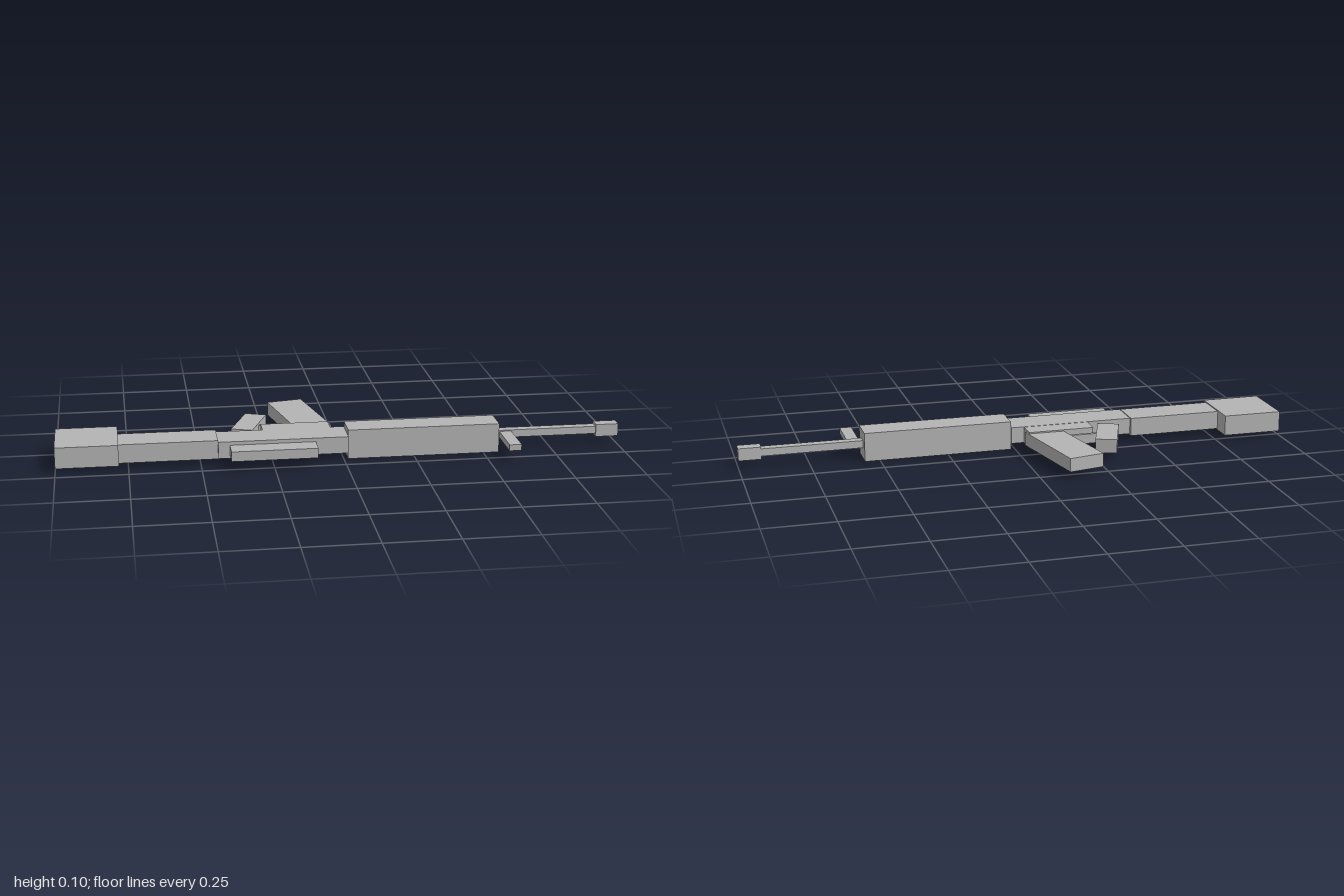
import * as THREE from 'three';

export function createModel() {
  const group = new THREE.Group();
  const grey = new THREE.MeshStandardMaterial({ color: 0xb4b4b4 });
  grey.name = 'grey';

  // Axis-aligned block given by its extents
  const block = (name, [x0, x1], [y0, y1], [z0, z1]) => {
    const mesh = new THREE.Mesh(new THREE.BoxGeometry(x1 - x0, y1 - y0, z1 - z0), grey);
    mesh.position.set((x0 + x1) / 2, (y0 + y1) / 2, (z0 + z1) / 2);
    mesh.name = name;
    group.add(mesh);
    return mesh;
  };

  // Block turned about the vertical axis, long side along its own z
  const slanted = (name, x, z, width, length, [y0, y1], angle) => {
    const mesh = block(name, [x - width / 2, x + width / 2], [y0, y1], [z - length / 2, z + length / 2]);
    mesh.rotation.y = angle;
  };

  // Main body, from the butt to the muzzle
  block('buttStock', [-1, -0.783], [0.016, 0.091], [-0.014, 0.205]);
  block('stockArm', [-0.783, -0.44], [0.02, 0.087], [0.062, 0.187]);
  block('receiver', [-0.44, 0.015], [0.024, 0.084], [0.076, 0.197]);
  block('handguard', [0.015, 0.555], [0, 0.105], [0.083, 0.188]);
  block('barrel', [0.555, 0.918], [0.041, 0.068], [0.118, 0.151]);
  block('muzzle', [0.918, 1], [0.031, 0.076], [0.114, 0.157]);

  // Upper fittings
  block('frontSight', [0.565, 0.608], [0.042, 0.064], [0.125, 0.306]);
  block('carryRail', [-0.4, -0.1], [0.036, 0.071], [0.19, 0.271]);

  // Lower fittings
  block('magazineWell', [-0.275, -0.033], [0.023, 0.083], [0.006, 0.08]);
  block('triggerGuard', [-0.28, -0.165], [0.036, 0.071], [-0.031, -0.018]);
  slanted('magazine', -0.123, -0.124, 0.131, 0.342, [0.029, 0.078], 0.206);
  slanted('grip', -0.313, -0.042, 0.078, 0.192, [0.028, 0.079], -0.352);

  return group;
}
